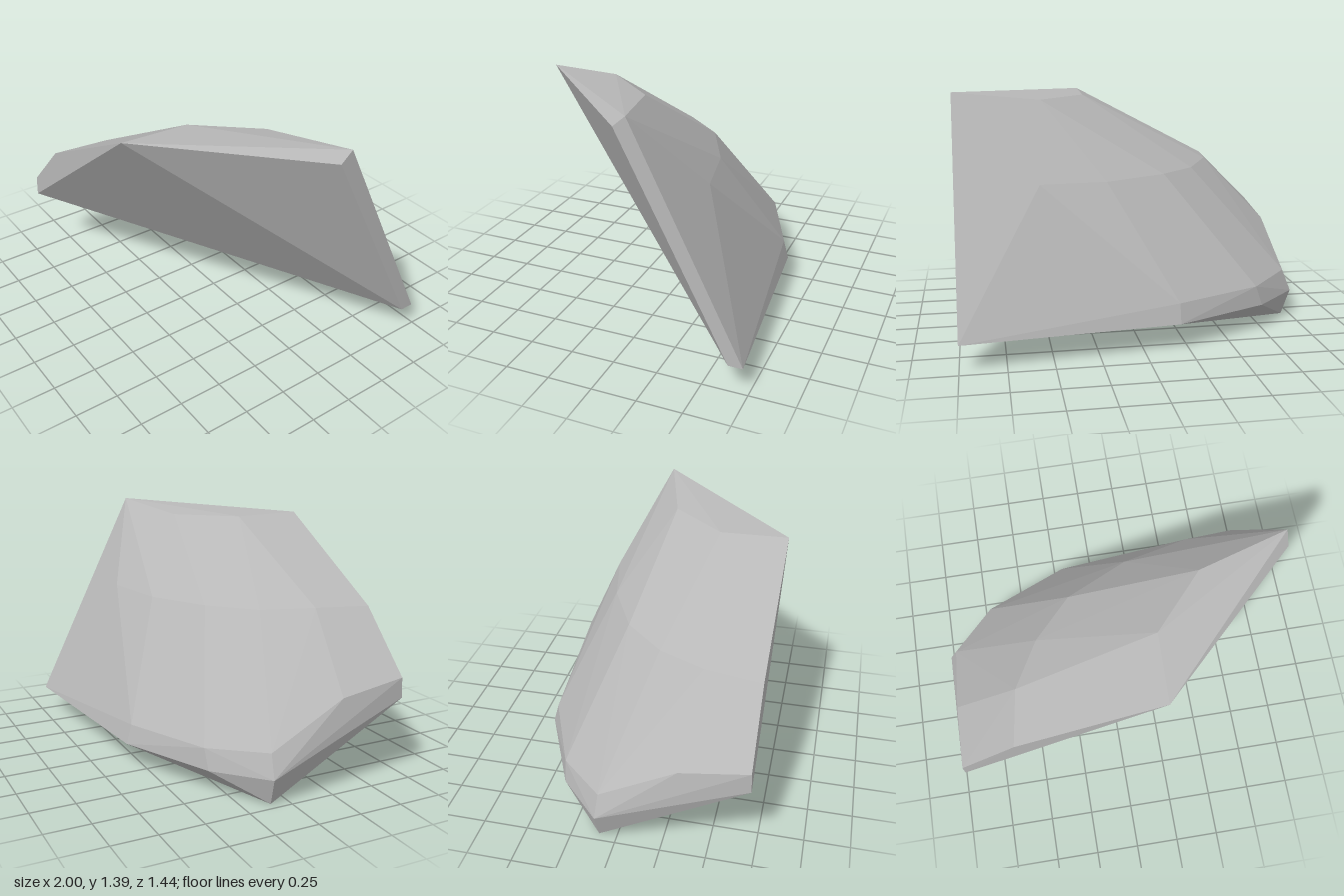
import * as THREE from 'three';
import { ConvexGeometry } from 'three/addons/geometries/ConvexGeometry.js';

// Horizontal rings of corners of a faceted, obliquely cut stone shard.
const bottomTip = [[-0.95, 0.01, -0.10]];
const lowerRing = [
  [-1, 0.16, -0.11], [-0.74, 0.16, -0.355], [-0.2, 0.16, -0.6],
  [1, 0.16, -0.72], [1, 0.16, -0.64],
];
const bevelRing = [
  [-0.95, 0.58, 0.71], [-0.95, 0.465, 0.715], [-0.95, 0.52, 0.33],
  [-0.95, 0.29, -0.10], [-0.70, 0.275, -0.36], [-0.2, 0.27, -0.57], [0.34, 0.25, -0.62],
];
const shoulderRing = [
  [-0.62, 0.91, 0.71], [-0.57, 0.92, 0.39], [-0.42, 0.905, 0.12],
  [-0.2, 0.91, -0.11], [0.16, 0.905, -0.28], [0.54, 0.915, -0.36],
];
const topRing = [
  [0.21, 1.35, 0.72], [0.22, 1.34, 0.33], [0.5, 1.34, 0.02],
  [1, 1.4, -0.11], [1, 1.34, -0.04],
];

export function createModel() {
  const group = new THREE.Group();
  group.name = 'stoneShard';

  const stone = new THREE.MeshStandardMaterial({ color: 0xb8b8b8 });
  stone.name = 'stone grey';

  // The shard is convex, so its flat facets follow from the corner rings.
  const corners = [bottomTip, lowerRing, bevelRing, shoulderRing, topRing]
    .flat().map((p) => new THREE.Vector3(...p));
  const shard = new THREE.Mesh(new ConvexGeometry(corners), stone);
  shard.name = 'shard';
  group.add(shard);
  return group;
}
